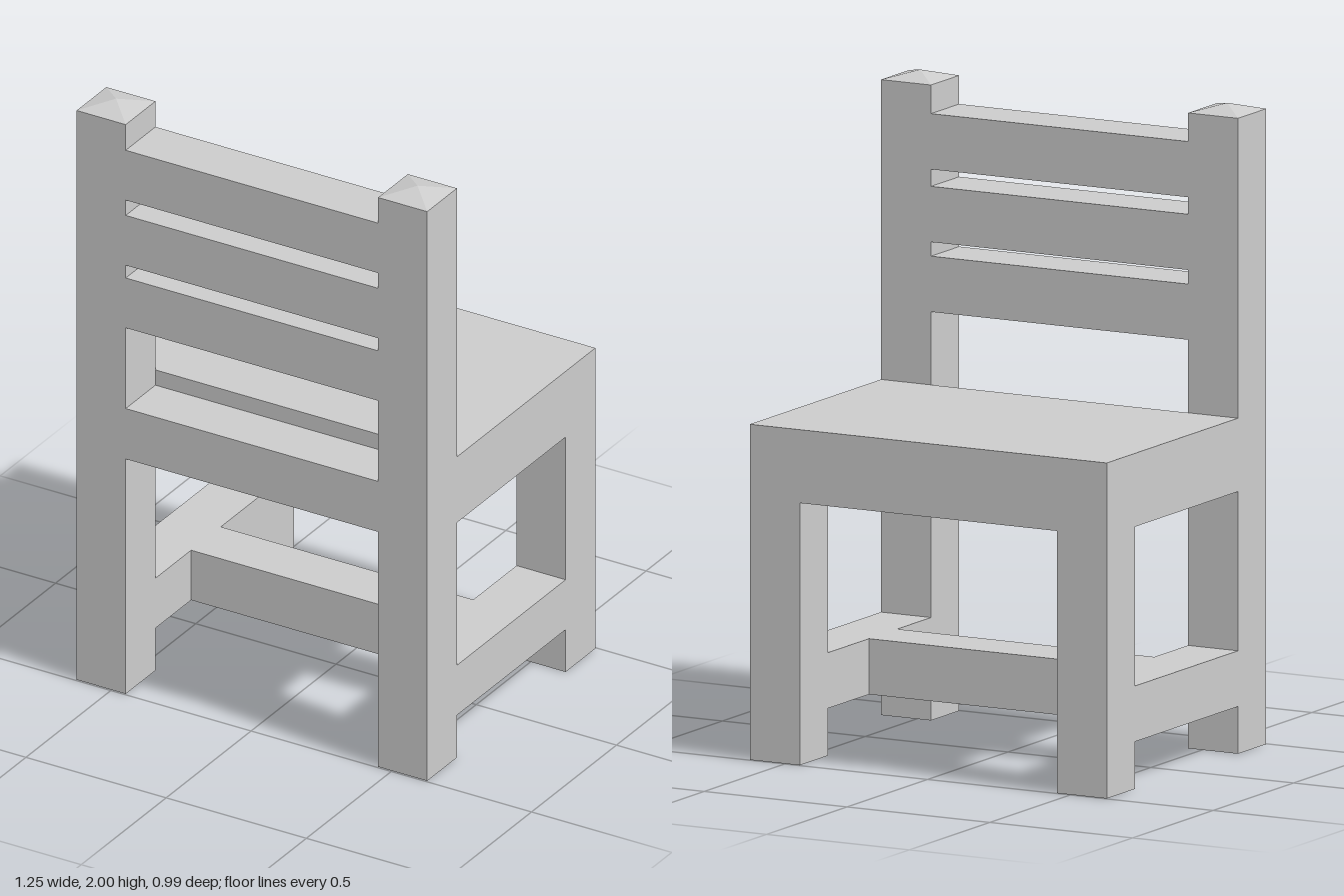
import * as THREE from 'three';

const T = 0.175;          // timber thickness
const W = 0.625;          // half width
const D = 0.495;          // half depth
const APRON = [0.815, 0.99], STRETCHER = [0.147, 0.32];

export function createModel() {
  const chair = new THREE.Group();
  chair.name = 'chair';
  const wood = new THREE.MeshStandardMaterial({ color: 0xcccccc, flatShading: true });

  // Box given by its extents on each axis
  function timber(name, [x0, x1], [y0, y1], [z0, z1]) {
    const mesh = new THREE.Mesh(new THREE.BoxGeometry(x1 - x0, y1 - y0, z1 - z0), wood);
    mesh.position.set((x0 + x1) / 2, (y0 + y1) / 2, (z0 + z1) / 2);
    mesh.name = name;
    chair.add(mesh);
  }

  const between = [-W + T, W - T];       // gap between left and right posts
  const backZ = [D - T, D];              // line of the backrest
  const seatFrontZ = [-D, -D + T];       // line of the short legs
  const sideZ = [-D + T, D - T];         // gap between legs along a side

  for (const [side, x] of [['left', [W - T, W]], ['right', [-W, -W + T]]]) {
    timber(side + 'BackPost', x, [0, 1.975], backZ);
    timber(side + 'ShortLeg', x, [0, 0.99], seatFrontZ);
    timber(side + 'Apron', x, APRON, sideZ);
    timber(side + 'Stretcher', x, STRETCHER, sideZ);

    // Low pyramid cap on the post
    const cap = new THREE.Mesh(
      new THREE.ConeGeometry(T / Math.SQRT2, 0.025, 4).rotateY(Math.PI / 4), wood);
    cap.position.set((x[0] + x[1]) / 2, 1.9875, D - T / 2);
    cap.name = side + 'PostCap';
    chair.add(cap);
  }

  // Cross rails and seat board
  timber('backApron', between, APRON, backZ);
  timber('seatEdgeApron', between, APRON, seatFrontZ);
  timber('centreStretcher', between, STRETCHER, [-0.065, 0.11]);
  timber('seat', [-W, W], [0.99, 1.043], [-D, D - T]);

  // Backrest slats
  [1.27, 1.487, 1.713].forEach((y, i) => timber('backSlat' + (i + 1), between, [y, y + 0.173], backZ));

  return chair;
}
